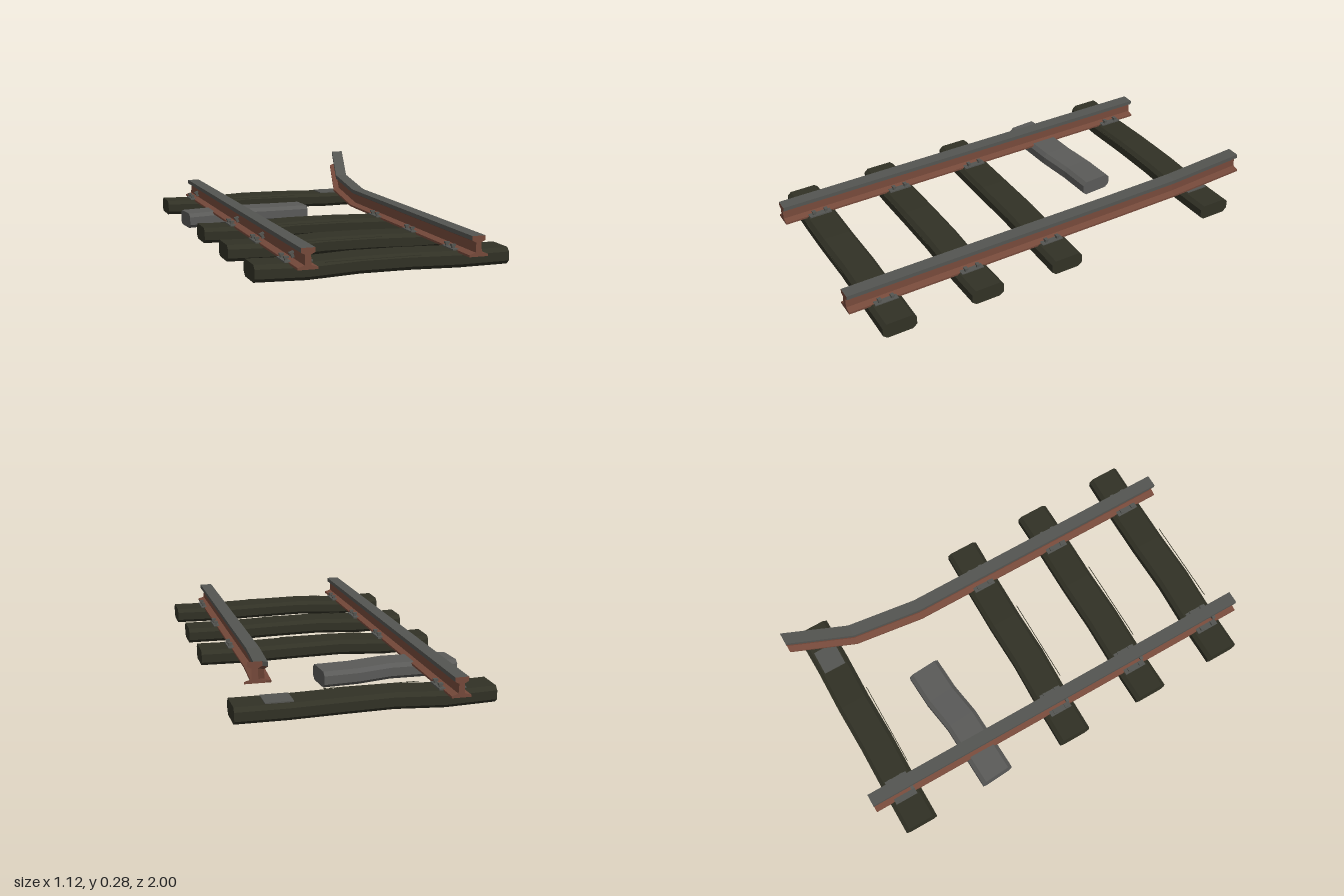
import * as THREE from 'three';

const mat = (name, color) => {
  const m = new THREE.MeshStandardMaterial({ color });
  m.name = name;
  return m;
};

// Lofts a counter-clockwise profile through sections running towards -z.
// rings: arrays of Vector3; topEdges: profile edges that use the second material.
function loft(profile, rings, topEdges = []) {
  const lists = [[], []];
  const tri = (k, ...pts) => pts.forEach(p => lists[k].push(p.x, p.y, p.z));
  const n = profile.length;
  for (let i = 0; i < rings.length - 1; i++) {
    for (let j = 0; j < n; j++) {
      const k = topEdges.includes(j) ? 1 : 0, q = (j + 1) % n;
      const a = rings[i][j], b = rings[i][q], c = rings[i + 1][q], d = rings[i + 1][j];
      tri(k, a, d, c);
      tri(k, a, c, b);
    }
  }
  const first = rings[0], last = rings[rings.length - 1];
  const caps = THREE.ShapeUtils.triangulateShape(profile.map(p => new THREE.Vector2(...p)), []);
  for (const [a, b, c] of caps) {
    tri(0, first[a], first[b], first[c]);
    tri(0, last[a], last[c], last[b]);
  }
  const geo = new THREE.BufferGeometry();
  geo.setAttribute('position', new THREE.Float32BufferAttribute([...lists[0], ...lists[1]], 3));
  geo.addGroup(0, lists[0].length / 3, 0);
  geo.addGroup(lists[0].length / 3, lists[1].length / 3, 1);
  geo.computeVertexNormals();
  return geo;
}

export function createModel() {
  const model = new THREE.Group();
  const rust = mat('rust', 0x75493a);
  const steel = mat('worn steel', 0x545551);
  const wood = mat('dark wood', 0x313125);
  const greyWood = mat('weathered wood', 0x5a5a58);

  const add = (name, geo, material, x = 0, y = 0, z = 0, parent = model) => {
    const mesh = new THREE.Mesh(geo, material);
    mesh.name = name;
    mesh.position.set(x, y, z);
    parent.add(mesh);
    return mesh;
  };

  // Rails: I-section with foot, web and worn head
  const half = [[0.043, 0.072], [0.043, 0.081], [0.014, 0.09], [0.012, 0.132], [0.03, 0.141], [0.03, 0.16]];
  const railProfile = [...half, ...half.map(([x, y]) => [-x, y]).reverse()];
  const rail = (name, path) => {
    const rings = path.map(([x, y, z]) => railProfile.map(p => new THREE.Vector3(p[0] + x, p[1] + y, z)));
    add(name, loft(railProfile, rings, [4, 5, 6]), [rust, steel]);
  };
  rail('straightRail', [[-0.37, 0, 1], [-0.37, 0, -1]]);
  rail('bentRail', [[0.37, 0, 1], [0.37, 0, -0.36], [0.402, 0.031, -0.7], [0.488, 0.128, -1]]);

  // Sleepers: chamfered timbers with a slight warp along their length
  const tieProfile = [[-0.06, 0.006], [0.06, 0.006], [0.08, 0.023], [0.08, 0.062],
    [0.062, 0.079], [-0.062, 0.079], [-0.08, 0.062], [-0.08, 0.023]];
  const tie = (name, length, material, sway, lift) => {
    const steps = sway.length - 1;
    const rings = sway.map((s, i) => tieProfile.map(([x, y]) =>
      new THREE.Vector3(x + s, y + lift[i], length * (0.5 - i / steps))));
    const mesh = add(name, loft(tieProfile, rings), [material, material]);
    mesh.rotation.y = Math.PI / 2;
    return mesh;
  };

  const plateGeo = new THREE.BoxGeometry(0.12, 0.009, 0.11);
  const shankGeo = new THREE.BoxGeometry(0.012, 0.02, 0.012);
  const headGeo = new THREE.BoxGeometry(0.02, 0.008, 0.016);
  const spike = (parent, x, y, z, tilt) => {
    const g = new THREE.Group();
    g.name = 'spike';
    g.position.set(x, y, z);
    g.rotation.z = tilt;
    add('spikeShank', shankGeo, steel, 0, 0, 0, g);
    add('spikeHead', headGeo, steel, 0, 0.012, 0, g);
    parent.add(g);
  };

  [0.83, 0.41, -0.01, -0.85].forEach((z, i) => {
    const s = i % 2 ? -1 : 1;
    const sleeper = tie('sleeper', 1.12, wood,
      [0.004 * s, 0, -0.002, 0.003, -0.002 * s, -0.004 * s].map(v => -v),
      [0.002, 0, 0.006, 0.008, -0.003, 0.003]);
    sleeper.position.z = z;
    // Hairline splinter beside each sleeper
    add('splinter', new THREE.BoxGeometry(0.42, 0.002, 0.003), wood, -0.06, 0.078, z + 0.087);
    // Bearing plates and spikes under each rail
    for (const side of [-1, 1]) {
      const fixing = new THREE.Group();
      fixing.name = 'railFixing';
      fixing.position.set(side * 0.37, 0, z);
      model.add(fixing);
      add('bearingPlate', plateGeo, steel, 0, 0.08, 0, fixing);
      if (side > 0 && z < -0.5) continue;
      for (const [x, dz] of [[-0.047, 0.03], [0.047, -0.03], [0.047, 0.03], [-0.047, -0.03]]) {
        spike(fixing, x, 0.086, dz, 0);
      }
      // One spike worked loose against the left web
      if (side < 0) spike(fixing, -0.025, 0.107, 0.045, 0.35);
    }
  });

  // Broken, skewed half sleeper
  const broken = tie('brokenSleeper', 0.64, greyWood,
    [0.004, 0.006, -0.008, -0.004, 0], [0.002, 0.003, 0.008, 0.005, 0]);
  broken.position.set(-0.222, 0, -0.452);
  broken.rotation.y += 0.07;

  return model;
}
